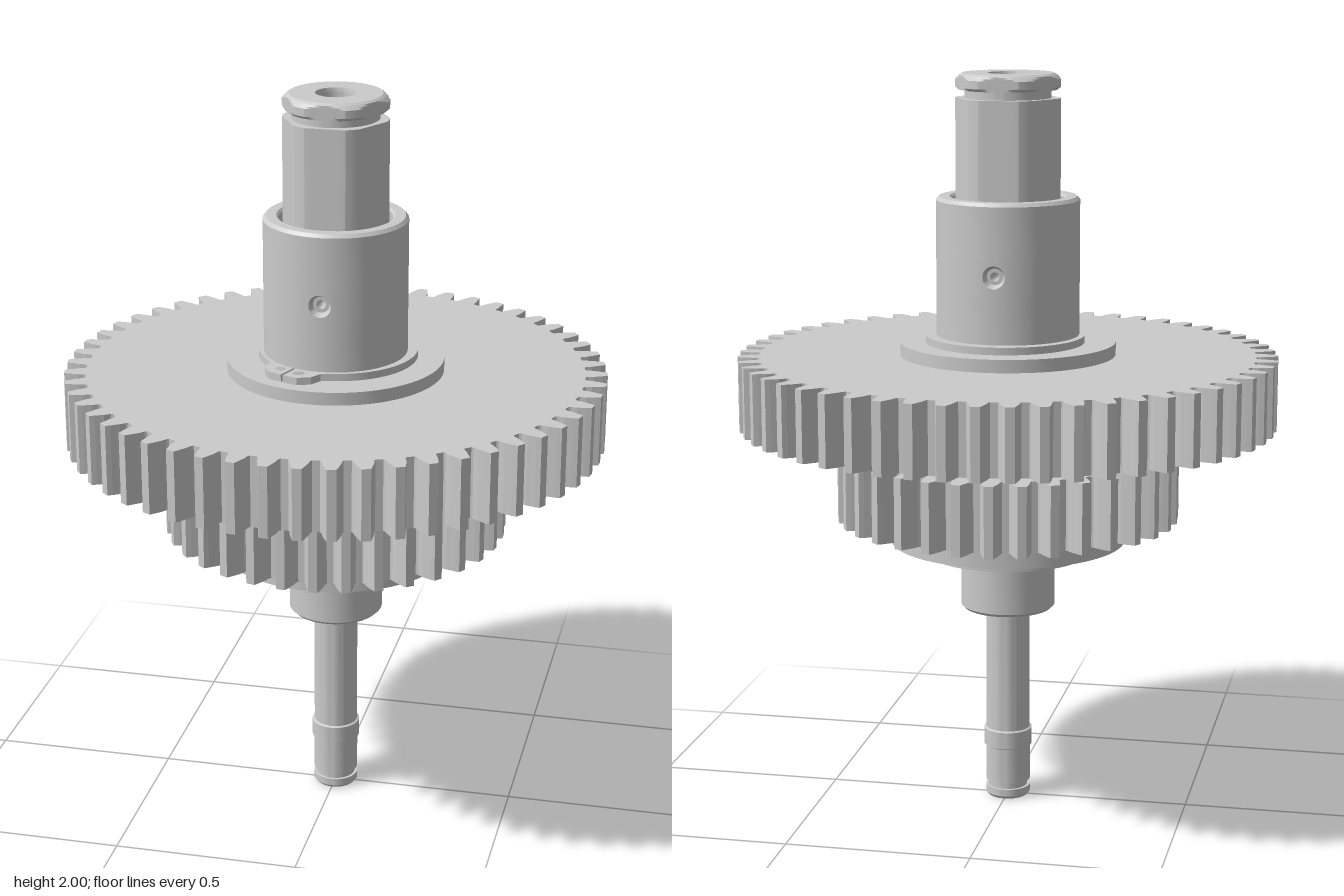
import * as THREE from 'three';
import { toCreasedNormals } from 'three/addons/utils/BufferGeometryUtils.js';

const material = new THREE.MeshStandardMaterial({ color: 0xcccccc });
const thin = new THREE.MeshStandardMaterial({ color: 0xcccccc, side: THREE.DoubleSide });

function part(name, geometry, mat = material) {
  const mesh = new THREE.Mesh(geometry, mat);
  mesh.name = name;
  return mesh;
}

// Profile of [radius, height] pairs, listed from bottom to top
function turned(profile, segments = 72, start = 0, length = Math.PI * 2) {
  const points = profile.map(([r, y]) => new THREE.Vector2(r, y));
  return new THREE.LatheGeometry(points, segments, start, length);
}
const crisp = (geometry, angle = 0.35) => toCreasedNormals(geometry, angle);

// Spur gear: root and tip radii follow from the module
function gear(teeth, module, height, phase) {
  const pitch = (teeth * module) / 2;
  const root = pitch - 1.25 * module, tip = pitch + module;
  const flank = [
    [root, 1.12], [root + 0.2 * module, 0.98], [pitch - 0.4 * module, 0.9],
    [pitch, 0.78], [pitch + 0.5 * module, 0.64], [tip, 0.46],
  ].map(([r, w]) => [r, (w * module) / r]);
  const points = [];
  for (let i = 0; i < teeth; i++) {
    const a = phase + (i / teeth) * Math.PI * 2;
    const at = (r, t) => points.push(new THREE.Vector2(r * Math.cos(t), r * Math.sin(t)));
    flank.forEach(([r, w]) => at(r, a - w));
    [...flank].reverse().forEach(([r, w]) => at(r, a + w));
  }
  const geometry = new THREE.ExtrudeGeometry(new THREE.Shape(points), { depth: height, bevelEnabled: false });
  return geometry.rotateX(-Math.PI / 2);
}

// Wall patch of a cylinder: square outside, round hole inside
function holedPatch(R, hole, half, y0) {
  const pos = [], nor = [], idx = [], steps = 40, rings = 4;
  for (let j = 0; j <= rings; j++) {
    for (let i = 0; i <= steps; i++) {
      const a = (i / steps) * Math.PI * 2, c = Math.cos(a), s = Math.sin(a);
      const edge = half / Math.max(Math.abs(c), Math.abs(s));
      const r = hole + ((edge - hole) * j) / rings;
      const t = (r * c) / R;
      pos.push(R * Math.sin(t), y0 + r * s, R * Math.cos(t));
      nor.push(Math.sin(t), 0, Math.cos(t));
      if (j < rings && i < steps) {
        const p = j * (steps + 1) + i, q = p + steps + 1;
        idx.push(p, q, q + 1, p, q + 1, p + 1);
      }
    }
  }
  const geometry = new THREE.BufferGeometry();
  geometry.setAttribute('position', new THREE.Float32BufferAttribute(pos, 3));
  geometry.setAttribute('normal', new THREE.Float32BufferAttribute(nor, 3));
  geometry.setIndex(idx);
  return geometry;
}

// Sleeve with a countersunk hole passing front to back
function makeSleeve() {
  const sleeve = new THREE.Group();
  sleeve.name = 'sleeve';
  const R = 0.192, holeY = 1.483, arc = 0.25, half = arc * R;
  sleeve.add(part('sleeveLower', crisp(turned([[R, 1.285], [R, holeY - half]]))));
  sleeve.add(part('sleeveUpper', crisp(turned([
    [R, holeY + half], [R, 1.667], [0.184, 1.676], [0.156, 1.676], [0.15, 1.67], [0.15, 1.62], [0.1, 1.62],
  ]))));
  for (const turn of [0, Math.PI]) {
    const wall = turned([[R, holeY - half], [R, holeY + half]], 30, turn + arc, Math.PI - 2 * arc);
    sleeve.add(part('sleeveWall', wall));
    sleeve.add(part('sleeveHoleWall', holedPatch(R, 0.03, half, holeY).rotateY(turn)));
    const bore = turned([[0.012, 0], [0.012, 0.172], [0.022, 0.172], [0.026, 0.18], [0.03, 0.19]], 32);
    bore.rotateX(Math.PI / 2).rotateY(turn).translate(0, holeY, 0);
    sleeve.add(part('crossHole', crisp(bore), thin));
  }
  return sleeve;
}

// Upper shaft: six flats cut into a round bar, with a drilled centre
function makeUpperShaft() {
  const geometry = turned([
    [0.14, 1.61], [0.14, 1.935], [0.115, 1.935], [0.115, 1.957], [0.132, 1.957], [0.14, 1.964],
    [0.14, 1.985], [0.135, 1.99], [0.13, 1.995], [0.122, 2],
    [0.054, 2], [0.052, 1.99], [0.052, 1.9], [0, 1.87],
  ], 96);
  const p = geometry.attributes.position, sector = Math.PI / 3;
  for (let i = 0; i < p.count; i++) {
    const x = p.getX(i), z = p.getZ(i), r = Math.hypot(x, z);
    if (r < 0.1) continue;
    const a = Math.atan2(x, z);
    const k = Math.min(r, 0.13 / Math.cos(a - Math.round(a / sector) * sector)) / r;
    p.setX(i, x * k);
    p.setZ(i, z * k);
  }
  return part('upperShaft', crisp(geometry, 0.2));
}

// Retaining ring, thicker opposite its two eared ends
function makeRetainingRing() {
  const s = new THREE.Shape();
  const slit = 0.003, inner = 0.187, top = Math.PI / 2;
  s.moveTo(slit, inner);
  [[slit, 0.252], [0.045, 0.25], [0.073, 0.225], [0.08, 0.19]].forEach(([x, y]) => s.lineTo(x, y));
  s.absarc(0, -0.013, 0.213, 0.95, top * 2 - 0.95, true);
  [[-0.08, 0.19], [-0.073, 0.225], [-0.045, 0.25], [-slit, 0.252], [-slit, inner]].forEach(([x, y]) => s.lineTo(x, y));
  s.absarc(0, 0, inner, top + 0.016, top - 0.016 + Math.PI * 2, false);
  for (const x of [-0.03, 0.03]) {
    s.holes.push(new THREE.Path().absarc(x, 0.217, 0.015, 0, Math.PI * 2, true));
  }
  const geometry = new THREE.ExtrudeGeometry(s, { depth: 0.02, bevelEnabled: false, curveSegments: 48 });
  geometry.rotateX(Math.PI / 2).rotateY(-0.37).translate(0, 1.305, 0);
  return part('retainingRing', crisp(geometry));
}

export function createModel() {
  const model = new THREE.Group();
  model.name = 'gearShaft';

  // Thin lower shaft with a collar and a snap groove
  model.add(part('lowerShaft', crisp(turned([
    [0, 0], [0.054, 0], [0.061, 0.008], [0.061, 0.028], [0.053, 0.028], [0.053, 0.045], [0.061, 0.045],
    [0.061, 0.145], [0.066, 0.148], [0.066, 0.195], [0.06, 0.198], [0.06, 0.62],
  ], 48))));

  // Bushing, recessed around the thin shaft
  model.add(part('bushing', crisp(turned([
    [0.058, 0.6], [0.1, 0.6], [0.1, 0.545], [0.12, 0.545], [0.128, 0.553], [0.128, 0.71],
  ]))));

  // Hub steps below, between and above the gears
  model.add(part('lowerHub', crisp(turned([
    [0.1, 0.7], [0.225, 0.7], [0.225, 0.735], [0.32, 0.735], [0.32, 0.81],
  ]))));
  model.add(part('middleHub', crisp(turned([
    [0.29, 0.98], [0.29, 1.025], [0.32, 1.025], [0.32, 1.07],
  ]))));
  model.add(part('upperFlange', crisp(turned([
    [0.29, 1.24], [0.29, 1.285], [0.18, 1.285],
  ]))));

  // Two spur gears sharing one tooth size
  const smallGear = part('smallGear', gear(34, 0.0258, 0.19, 0));
  smallGear.position.y = 0.8;
  const largeGear = part('largeGear', gear(54, 0.0259, 0.19, Math.PI / 2 - 0.026));
  largeGear.position.y = 1.06;
  model.add(smallGear, largeGear);

  model.add(makeRetainingRing(), makeSleeve(), makeUpperShaft());
  return model;
}
